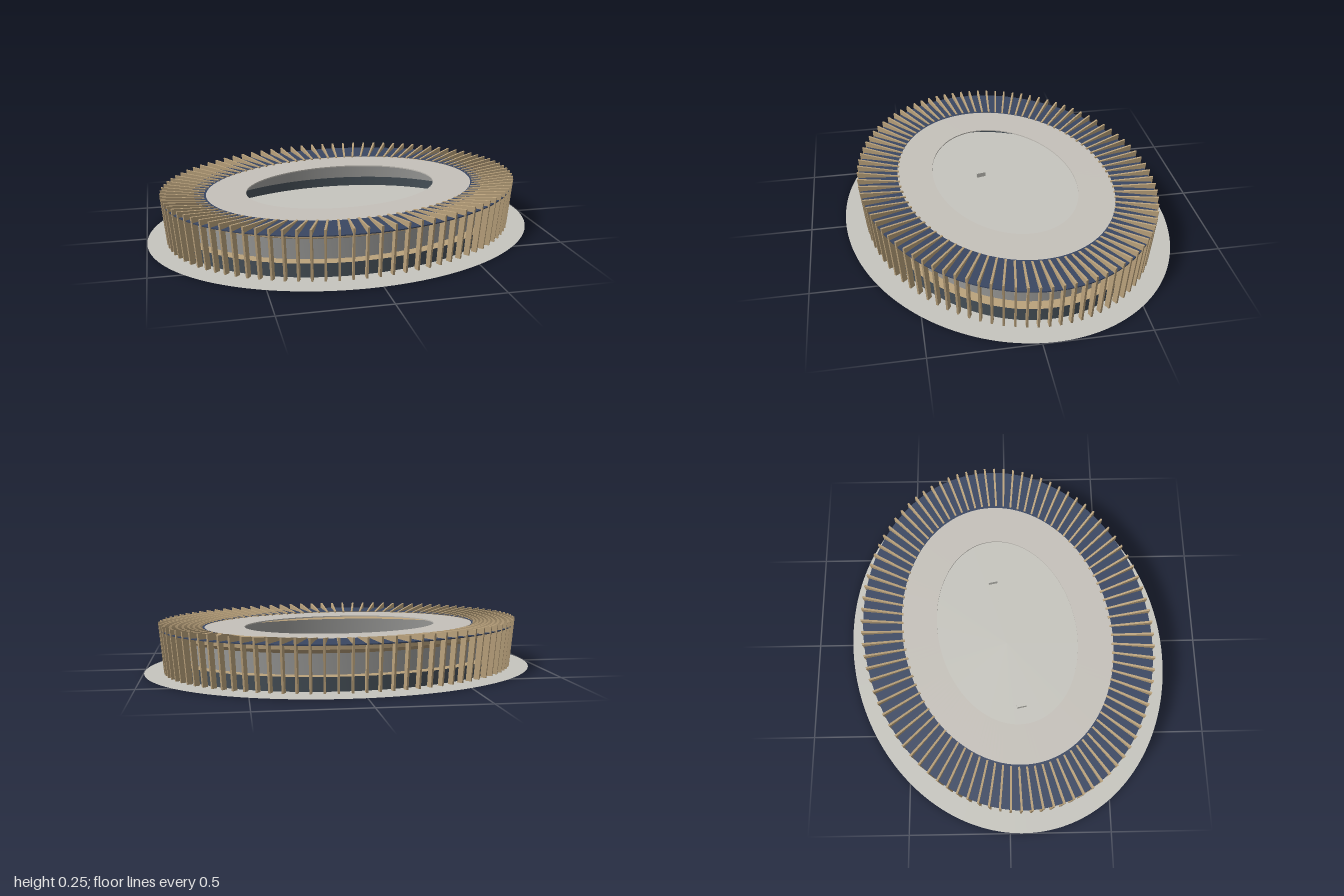
import * as THREE from 'three';

const SEG = 180, RIBS = 90, TILT = 0.198;
const OUT_A = 0.932, OUT_B = 0.737; // outer ellipse of the roof

const material = (name, color) => new THREE.MeshStandardMaterial({ name, color, side: THREE.DoubleSide });

// Elliptical bands through a list of [semiaxis a, semiaxis b, height] loops, with crisp edges between bands
function ellipseBands(loops) {
  const pos = [], idx = [];
  for (let k = 0; k < loops.length - 1; k++) {
    const base = pos.length / 3;
    for (const [a, b, y] of [loops[k], loops[k + 1]]) {
      for (let i = 0; i < SEG; i++) {
        const t = (i / SEG) * Math.PI * 2;
        pos.push(a * Math.cos(t), y, b * Math.sin(t));
      }
    }
    for (let i = 0; i < SEG; i++) {
      const p = base + i, q = base + ((i + 1) % SEG);
      idx.push(p, p + SEG, q, q, p + SEG, q + SEG);
    }
  }
  const g = new THREE.BufferGeometry();
  g.setAttribute('position', new THREE.Float32BufferAttribute(pos, 3));
  g.setIndex(idx);
  g.computeVertexNormals();
  return g;
}

// Loop set in by a distance from the outer ellipse
const inset = (d, y) => [OUT_A - d, OUT_B - d, y];

export function createModel() {
  const paving = material('paving grey', 0xc6c5be);
  const roofGrey = material('roof grey', 0xc5c1ba);
  const navy = material('navy panels', 0x3a4762);
  const timber = material('timber', 0xbaa27c);
  const glass = material('pale glazing', 0x9c9c9a);
  const slate = material('slate wall', 0x48525a);

  const model = new THREE.Group();
  model.name = 'arena';
  const hall = new THREE.Group();
  hall.name = 'ovalHall';
  hall.rotation.y = TILT;
  model.add(hall);

  const add = (name, geometry, mat, parent = hall) => {
    const mesh = new THREE.Mesh(geometry, mat);
    mesh.name = name;
    parent.add(mesh);
    return mesh;
  };

  // Ground disc, which is also the floor of the hall
  const disc = new THREE.CircleGeometry(1, SEG).rotateX(-Math.PI / 2).scale(1.006, 1, 0.819);
  add('groundDisc', disc, paving).position.y = 0.001;

  // Facade, from the ground up
  add('lowerWall', ellipseBands([inset(0.07, 0.068), inset(0.07, 0)]), slate);
  add('ledge', ellipseBands([inset(0.12, 0.068), inset(0.068, 0.068)]), timber);
  add('windowBand', ellipseBands([inset(0.12, 0.165), inset(0.12, 0.068)]), glass);
  add('eaves', ellipseBands([
    inset(0.012, 0.216), inset(0.06, 0.207), inset(0.06, 0.19), inset(0.12, 0.165),
  ]), timber);

  // Roof: navy panel ring around a grey deck with an oval opening
  add('roofPanels', ellipseBands([[0.706, 0.532, 0.219], inset(0.008, 0.221), inset(0.008, 0.216)]), navy);
  add('roofDeck', ellipseBands([[0.505, 0.353, 0.209], [0.505, 0.353, 0.215], [0.712, 0.538, 0.215]]), roofGrey);

  // Ribs: a leaning column that turns into a tapering fin over the roof
  const profile = new THREE.Shape([
    [-0.022, 0], [0, 0.25], [-0.215, 0.222], [-0.215, 0.213], [-0.034, 0.213], [-0.05, 0],
  ].map(([x, y]) => new THREE.Vector2(x, y)));
  const ribGeometry = new THREE.ExtrudeGeometry(profile, { depth: 0.01, bevelEnabled: false });
  ribGeometry.translate(0, 0, -0.005);
  const ribs = new THREE.Group();
  ribs.name = 'ribs';
  hall.add(ribs);
  for (let i = 0; i < RIBS; i++) {
    const t = ((i + 0.5) / RIBS) * Math.PI * 2;
    const c = Math.cos(t), s = Math.sin(t);
    const rib = add('rib', ribGeometry, timber, ribs);
    rib.position.set(OUT_A * c, 0, OUT_B * s);
    rib.rotation.y = -Math.atan2((OUT_B - 0.532) * s, (OUT_A - 0.706) * c);
  }

  // Two small goals on the floor
  for (const side of [1, -1]) {
    const goal = add('goal', new THREE.BoxGeometry(0.013, 0.025, 0.05), paving);
    goal.position.set(side * 0.36, 0.0135, 0);
  }

  return model;
}
